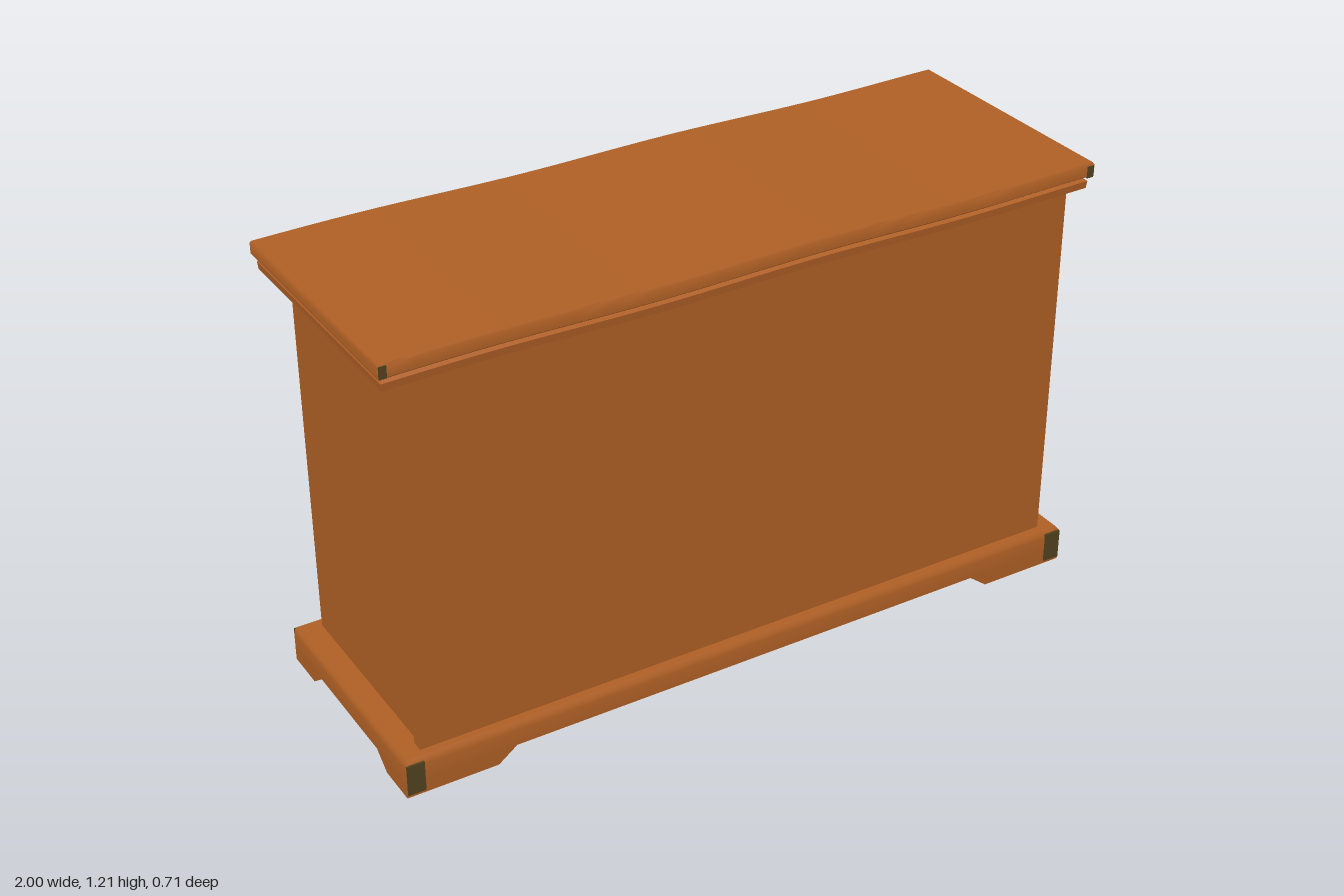
import * as THREE from 'three';
import { toCreasedNormals } from 'three/addons/utils/BufferGeometryUtils.js';
import { RoundedBoxGeometry } from 'three/addons/geometries/RoundedBoxGeometry.js';

const material = (name, color) => {
  const m = new THREE.MeshStandardMaterial({ color });
  m.name = name;
  return m;
};

export function createModel() {
  const wood = material('wood', 0xb06025);
  const metal = material('darkBronze', 0x51421f);
  const model = new THREE.Group();
  model.name = 'chestOfDrawers';

  const add = (parent, name, geometry, mat, x = 0, y = 0, z = 0) => {
    const mesh = new THREE.Mesh(geometry, mat);
    mesh.name = name;
    mesh.position.set(x, y, z);
    parent.add(mesh);
    return mesh;
  };
  // Box given by its bounds
  const box = (parent, name, mat, x0, x1, y0, y1, z0, z1) =>
    add(parent, name, new THREE.BoxGeometry(x1 - x0, y1 - y0, z1 - z0), mat,
      (x0 + x1) / 2, (y0 + y1) / 2, (z0 + z1) / 2);

  // Slab whose edge follows a profile of [inset, y] from bottom to top, with a gentle wave
  const moulding = (w, d, profile, wave) => {
    const n = profile.length - 1;
    const g = new THREE.BoxGeometry(w, 1, d, 40, n, 1);
    const p = g.attributes.position;
    for (let i = 0; i < p.count; i++) {
      const [inset, y] = profile[Math.round((p.getY(i) + 0.5) * n)];
      const x = p.getX(i);
      p.setXYZ(i, x * (1 - 2 * inset / w), y + wave * Math.sin(x * 7 + 0.4),
        p.getZ(i) * (1 - 2 * inset / d));
    }
    return toCreasedNormals(g, 0.6);
  };

  // Carcass: core, rear panel a little wider than the sides
  box(model, 'carcass', wood, -0.935, 0.935, 0.09, 1.14, -0.262, 0.29);
  box(model, 'rearPanel', wood, -0.945, 0.945, 0.1, 1.14, 0.288, 0.32);

  // Cornice with two stepped bands
  add(model, 'cornice', moulding(2, 0.71, [
    [0.022, 1.13], [0.012, 1.135], [0.010, 1.155], [0.018, 1.162], [0.008, 1.168],
    [0, 1.174], [0, 1.203], [0.004, 1.209],
  ], 0.003), wood);

  // Plinth with feet at the corners
  const baseZ = 0.0175, baseW = 2, baseD = 0.665;
  add(model, 'plinth', moulding(baseW, baseD, [
    [0, 0.04], [0, 0.085], [0.003, 0.097], [0.01, 0.106],
  ], 0), wood, 0, 0, baseZ);
  const footSide = (length) => {
    const s = new THREE.Shape();
    s.moveTo(0, 0);
    s.lineTo(length, 0);
    s.lineTo(length + 0.055, 0.042);
    s.lineTo(0, 0.042);
    s.closePath();
    return new THREE.ExtrudeGeometry(s, { depth: 0.05, bevelEnabled: false });
  };
  const feet = new THREE.Group();
  feet.name = 'feet';
  model.add(feet);
  for (const sx of [-1, 1]) {
    for (const sz of [-1, 1]) {
      const x = sx * baseW / 2, z = baseZ + sz * baseD / 2;
      // Long face of the foot
      const a = add(feet, 'footLongSide', footSide(0.25), wood, x, 0,
        sx < 0 ? z - (sz > 0 ? 0.05 : 0) : z + (sz < 0 ? 0.05 : 0));
      a.rotation.y = sx < 0 ? 0 : Math.PI;
      // Short face of the foot
      const b = add(feet, 'footShortSide', footSide(0.115), wood, 0, 0, z);
      b.rotation.y = sz > 0 ? Math.PI / 2 : -Math.PI / 2;
      b.position.x = sz > 0 ? (sx > 0 ? x - 0.05 : x) : (sx > 0 ? x : x + 0.05);
      // Metal corner plates on plinth and cornice
      add(model, 'plinthCornerPlate', new THREE.BoxGeometry(0.048, 0.086, 0.006), metal,
        sx * 0.974, 0.052, z + sz * 0.001);
      add(model, 'corniceCornerPlate', new THREE.BoxGeometry(0.02, 0.032, 0.004), metal,
        sx * 0.988, 1.188, sz * 0.3545);
    }
  }

  // Drawer side, built facing forward and then turned to the rear
  const face = new THREE.Group();
  face.name = 'drawerFront';
  face.rotation.y = Math.PI;
  model.add(face);
  for (const s of [-1, 1]) {
    box(face, 'cornerPost', wood, s * 0.905 - 0.03, s * 0.905 + 0.03, 0.1, 1.14, 0.25, 0.28);
    box(face, 'postBead', wood, s * 0.867 - 0.006, s * 0.867 + 0.006, 0.1, 1.14, 0.25, 0.272);
  }
  box(face, 'topRail', wood, -0.88, 0.88, 1.085, 1.14, 0.25, 0.274);
  box(face, 'middleRail', wood, -0.88, 0.88, 0.605, 0.647, 0.25, 0.276);
  box(face, 'bottomRail', wood, -0.88, 0.88, 0.1, 0.13, 0.25, 0.276);
  box(face, 'centreDivider', wood, -0.024, 0.024, 0.1, 1.14, 0.25, 0.27);

  const makeDrawer = (w, h, side, handleY) => {
    const g = new THREE.Group();
    g.name = 'drawer';
    add(g, 'drawerPanel', new RoundedBoxGeometry(w, h, 0.05, 3, 0.012), wood, 0, 0, 0.275);

    // Raised field with wavy top and bottom edges
    const a = w / 2 - 0.075, b = h / 2 - 0.07, n = 20;
    const s = new THREE.Shape();
    for (let i = 0; i <= n; i++) {
      const x = -a + 2 * a * i / n;
      const y = -b + 0.01 * Math.sin(x * 11);
      if (i) s.lineTo(x, y); else s.moveTo(x, y);
    }
    for (let i = n; i >= 0; i--) {
      const x = -a + 2 * a * i / n;
      s.lineTo(x, b + 0.01 * Math.sin(x * 11 + 1));
    }
    s.closePath();
    const field = new THREE.ExtrudeGeometry(s, {
      depth: 0.004, bevelThickness: 0.006, bevelSize: 0.018, bevelSegments: 2,
    });
    add(g, 'raisedField', toCreasedNormals(field, 0.5), wood, 0, 0, 0.297);

    // Carved grain ridges
    for (const k of [-0.62, 0.62]) {
      const points = [];
      for (let i = 0; i <= 8; i++) {
        const x = -a * 0.85 + a * 1.7 * i / 8;
        points.push(new THREE.Vector3(x, k * b + 0.012 * Math.sin(x * 11 + k * 3), 0.306));
      }
      const curve = new THREE.CatmullRomCurve3(points);
      add(g, 'grainRidge', new THREE.TubeGeometry(curve, 24, 0.003, 6), wood);
    }

    // Small metal corner on the outer upper edge
    add(g, 'drawerCornerPlate', new THREE.BoxGeometry(0.04, 0.024, 0.004), metal,
      side * (w / 2 - 0.03), h / 2 - 0.024, 0.3);

    // Handle: back plate, pivot and curved pull
    const handle = new THREE.Group();
    handle.name = 'handle';
    handle.position.set(0, handleY, 0);
    g.add(handle);
    add(handle, 'handlePlate', new RoundedBoxGeometry(0.135, 0.065, 0.012, 2, 0.004), metal, 0, 0, 0.309);
    const pivot = add(handle, 'handlePivot', new THREE.CylinderGeometry(0.007, 0.007, 0.065, 10),
      metal, 0, 0.004, 0.32);
    pivot.rotation.z = Math.PI / 2;
    const pull = new THREE.Shape();
    pull.moveTo(0.314, 0.002);
    pull.lineTo(0.314, 0.008);
    pull.bezierCurveTo(0.334, 0.014, 0.338, 0.004, 0.343, -0.018);
    pull.quadraticCurveTo(0.346, -0.034, 0.356, -0.042);
    pull.lineTo(0.353, -0.046);
    pull.quadraticCurveTo(0.341, -0.036, 0.338, -0.02);
    pull.bezierCurveTo(0.333, 0, 0.33, 0.006, 0.314, 0.002);
    const pullGeometry = new THREE.ExtrudeGeometry(pull, { depth: 0.05, bevelEnabled: false, curveSegments: 8 });
    pullGeometry.rotateY(-Math.PI / 2).translate(0.025, 0, 0);
    add(handle, 'handlePull', toCreasedNormals(pullGeometry, 0.6), metal);
    return g;
  };

  // Two rows of two drawers: [bottom, top, handle height]
  for (const [y0, y1, handleY] of [[0.145, 0.588, 0.42], [0.662, 1.07, 0.905]]) {
    for (const side of [-1, 1]) {
      const y = (y0 + y1) / 2;
      const drawer = makeDrawer(0.81, y1 - y0, side, handleY - y);
      drawer.position.set(side * 0.445, y, 0);
      face.add(drawer);
    }
  }
  return model;
}
